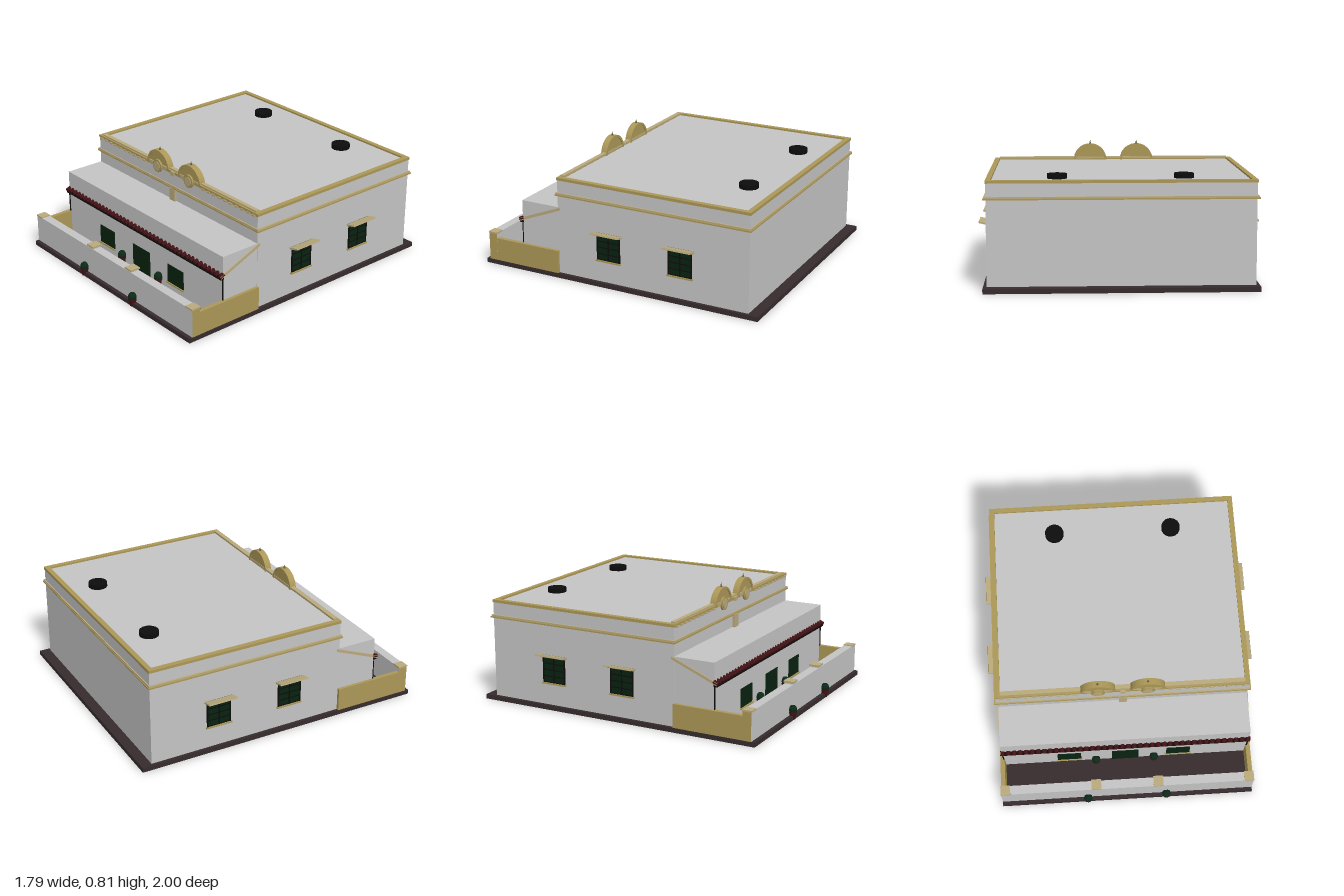
import * as THREE from 'three';

const mat = (name, color, side = THREE.FrontSide) => {
  const m = new THREE.MeshStandardMaterial({ color, side });
  m.name = name;
  return m;
};

export function createModel() {
  const root = new THREE.Group();
  root.name = 'courtyardHouse';
  const wall = mat('wallGrey', 0xc4c4c4);
  const ochre = mat('ochreTrim', 0xab9757);
  const beige = mat('paleTrim', 0xb9a97c);
  const brown = mat('shadedTimber', 0x6e6040);
  const ground = mat('darkPaving', 0x362b2d);
  const red = mat('darkRedClay', 0x421114);
  const black = mat('blackMetal', 0x0c0c0c);
  const glass = mat('greenGlass', 0x08220f);
  const leaf = mat('darkLeaf', 0x0c2a18);

  const add = (name, geo, material, x = 0, y = 0, z = 0, parent = root) => {
    const m = new THREE.Mesh(geo, material);
    m.name = name;
    m.position.set(x, y, z);
    parent.add(m);
    return m;
  };
  // Box given by its low and high corners
  const box = (name, material, x0, x1, y0, y1, z0, z1, parent = root) =>
    add(name, new THREE.BoxGeometry(x1 - x0, y1 - y0, z1 - z0), material,
      (x0 + x1) / 2, (y0 + y1) / 2, (z0 + z1) / 2, parent);
  // Rectangular ring lying flat, with a rectangular opening
  const frame = (name, material, hx, zb, zf, t, y0, y1) => {
    const s = new THREE.Shape();
    s.moveTo(-hx, -zf).lineTo(hx, -zf).lineTo(hx, -zb).lineTo(-hx, -zb).closePath();
    const h = new THREE.Path();
    h.moveTo(-hx + t, -zf + t).lineTo(-hx + t, -zb - t).lineTo(hx - t, -zb - t).lineTo(hx - t, -zf + t).closePath();
    s.holes.push(h);
    const g = new THREE.ExtrudeGeometry(s, { depth: y1 - y0, bevelEnabled: false });
    g.rotateX(-Math.PI / 2);
    return add(name, g, material, 0, y0, 0);
  };

  // Base, main block and porch block
  box('baseSlab', ground, -0.85, 0.85, 0, 0.03, -1, 0.98);
  box('mainBlock', wall, -0.828, 0.828, 0.03, 0.672, -0.93, 0.42);
  box('porchBlock', wall, -0.826, 0.826, 0.03, 0.482, 0.41, 0.695);

  // Cornice band and roof coping
  frame('cornice', ochre, 0.846, -0.943, 0.432, 0.03, 0.565, 0.574);
  frame('corniceTop', beige, 0.84, -0.938, 0.428, 0.03, 0.574, 0.584);
  frame('roofCoping', ochre, 0.832, -0.934, 0.424, 0.033, 0.666, 0.684);
  box('frontCopingCap', beige, -0.8, 0.8, 0.68, 0.693, 0.383, 0.412);
  for (const s of [-1, 1])
    for (let i = 0; i < 10; i++) {
      const x = s * (0.31 + i * 0.054);
      box('dentil', beige, x - 0.014, x + 0.014, 0.66, 0.672, 0.418, 0.43);
    }
  box('centreBracket', beige, -0.027, 0.027, 0.482, 0.568, 0.42, 0.436);
  box('centreKeystone', beige, -0.016, 0.016, 0.658, 0.686, 0.42, 0.434);

  // Twin arched crests with medallion and finial
  const halfDisc = (r, d) => {
    const s = new THREE.Shape();
    s.moveTo(-r, 0).lineTo(r, 0).absarc(0, 0, r, 0, Math.PI, false);
    return new THREE.ExtrudeGeometry(s, { depth: d, bevelEnabled: false, curveSegments: 20 });
  };
  for (const s of [-1, 1]) {
    const crest = new THREE.Group();
    crest.name = 'crest';
    crest.position.set(s * 0.163, 0.668, 0);
    root.add(crest);
    add('crestPanel', halfDisc(0.104, 0.032), ochre, 0, 0, 0.386, crest);
    const rim = new THREE.Shape();
    rim.absarc(0, 0, 0.115, 0, Math.PI, false);
    rim.absarc(0, 0, 0.1, Math.PI, 0, true);
    add('crestRim', new THREE.ExtrudeGeometry(rim, { depth: 0.044, bevelEnabled: false, curveSegments: 20 }),
      ochre, 0, 0, 0.38, crest);
    box('crestFoot', beige, -0.09, 0.09, 0.002, 0.024, 0.416, 0.424, crest);
    add('medallionRing', new THREE.CylinderGeometry(0.045, 0.045, 0.014, 20).rotateX(Math.PI / 2),
      ochre, 0, 0.006, 0.424, crest);
    add('medallion', new THREE.CylinderGeometry(0.031, 0.031, 0.006, 20).rotateX(Math.PI / 2),
      beige, 0, 0.006, 0.432, crest);
    add('finial', new THREE.ConeGeometry(0.009, 0.03, 8), brown, 0, 0.126, 0.402, crest);
  }

  // Roof vents
  for (const s of [-1, 1])
    add('roofVent', new THREE.CylinderGeometry(0.063, 0.063, 0.032, 14), black, s * 0.395, 0.686, -0.72);

  // Sloping porch rafters along both sides
  const slope = Math.atan2(0.125, 0.31);
  for (const s of [-1, 1]) {
    const rafter = add('rafter', new THREE.BoxGeometry(0.014, 0.018, 0.34), beige, s * 0.826, 0.41, 0.56);
    rafter.rotation.x = slope;
    box('downpipe', black, s * 0.824 - 0.004, s * 0.824 + 0.004, 0.03, 0.34, 0.694, 0.7);
  }

  // Eave beam and clay tile ends
  box('eaveBeam', black, -0.83, 0.83, 0.33, 0.352, 0.69, 0.716);
  const tileGeo = new THREE.CylinderGeometry(0.015, 0.015, 0.035, 8).rotateX(Math.PI / 2 + slope);
  for (let i = 0; i < 42; i++)
    add('roofTile', tileGeo, red, -0.82 + i * 0.04, 0.354, 0.703);

  // Yard walls: grey front with ochre ends, ochre sides
  add('yardFrontWall', new THREE.BoxGeometry(1.696, 0.19, 0.06),
    [ochre, ochre, wall, wall, wall, wall], 0, 0.125, 0.925);
  for (const s of [-1, 1]) {
    const side = (name, m, a, b, ...r) => box(name, m, Math.min(s * a, s * b), Math.max(s * a, s * b), ...r);
    side('yardSideWall', ochre, 0.818, 0.847, 0.03, 0.185, 0.42, 0.896);
    side('cornerCap', beige, 0.785, 0.85, 0.215, 0.226, 0.892, 0.958);
    const x = s * 0.208;
    box('gatePost', wall, x - 0.027, x + 0.027, 0.03, 0.23, 0.896, 0.954);
    box('gatePostCap', beige, x - 0.033, x + 0.033, 0.228, 0.24, 0.89, 0.96);
  }

  // Side windows with sill, bars, lintel and tilted awning
  for (const s of [-1, 1])
    for (const z of [0.047, -0.462]) {
      const w = new THREE.Group();
      w.name = 'sideWindow';
      w.position.set(s * 0.828, 0, z);
      w.rotation.y = s * Math.PI / 2;
      root.add(w);
      box('pane', glass, -0.083, 0.083, 0.18, 0.352, 0, 0.004, w);
      for (const x of [-0.08, 0, 0.08])
        box('upright', black, x - 0.004, x + 0.004, 0.18, 0.352, 0, 0.008, w);
      for (const y of [0.184, 0.225, 0.267, 0.309])
        box('crossbar', black, -0.083, 0.083, y - 0.003, y + 0.003, 0, 0.007, w);
      box('sill', ochre, -0.09, 0.09, 0.171, 0.181, 0, 0.014, w);
      box('lintel', brown, -0.092, 0.092, 0.35, 0.364, 0, 0.02, w);
      const awning = add('awning', new THREE.BoxGeometry(0.2, 0.011, 0.068), beige, 0, 0.366, 0.034, w);
      awning.rotation.x = -0.24;
    }

  // Potted plants by the gate and by the porch wall
  const pot = (x, y, z) => {
    const g = new THREE.Group();
    g.name = 'pottedPlant';
    g.position.set(x, y, z);
    root.add(g);
    add('pot', new THREE.CylinderGeometry(0.024, 0.018, 0.044, 10), red, 0, 0.022, 0, g);
    add('potRim', new THREE.CylinderGeometry(0.028, 0.028, 0.01, 10), red, 0, 0.045, 0, g);
    const bush = add('bush', new THREE.IcosahedronGeometry(0.029, 1), leaf, 0, 0.064, 0, g);
    bush.scale.y = 1.05;
  };
  for (const x of [-0.268, 0.264]) pot(x, 0.004, 0.971);
  for (const x of [-0.2, 0.195]) pot(x, 0.03, 0.712);

  // Porch door and windows, low on the porch front
  box('porchDoor', glass, -0.09, 0.09, 0.03, 0.215, 0.695, 0.701);
  for (const x of [-0.38, 0.36]) {
    box('porchWindow', glass, x - 0.08, x + 0.08, 0.09, 0.215, 0.695, 0.701);
    box('porchSill', ochre, x - 0.088, x + 0.088, 0.08, 0.09, 0.695, 0.708);
  }
  return root;
}
